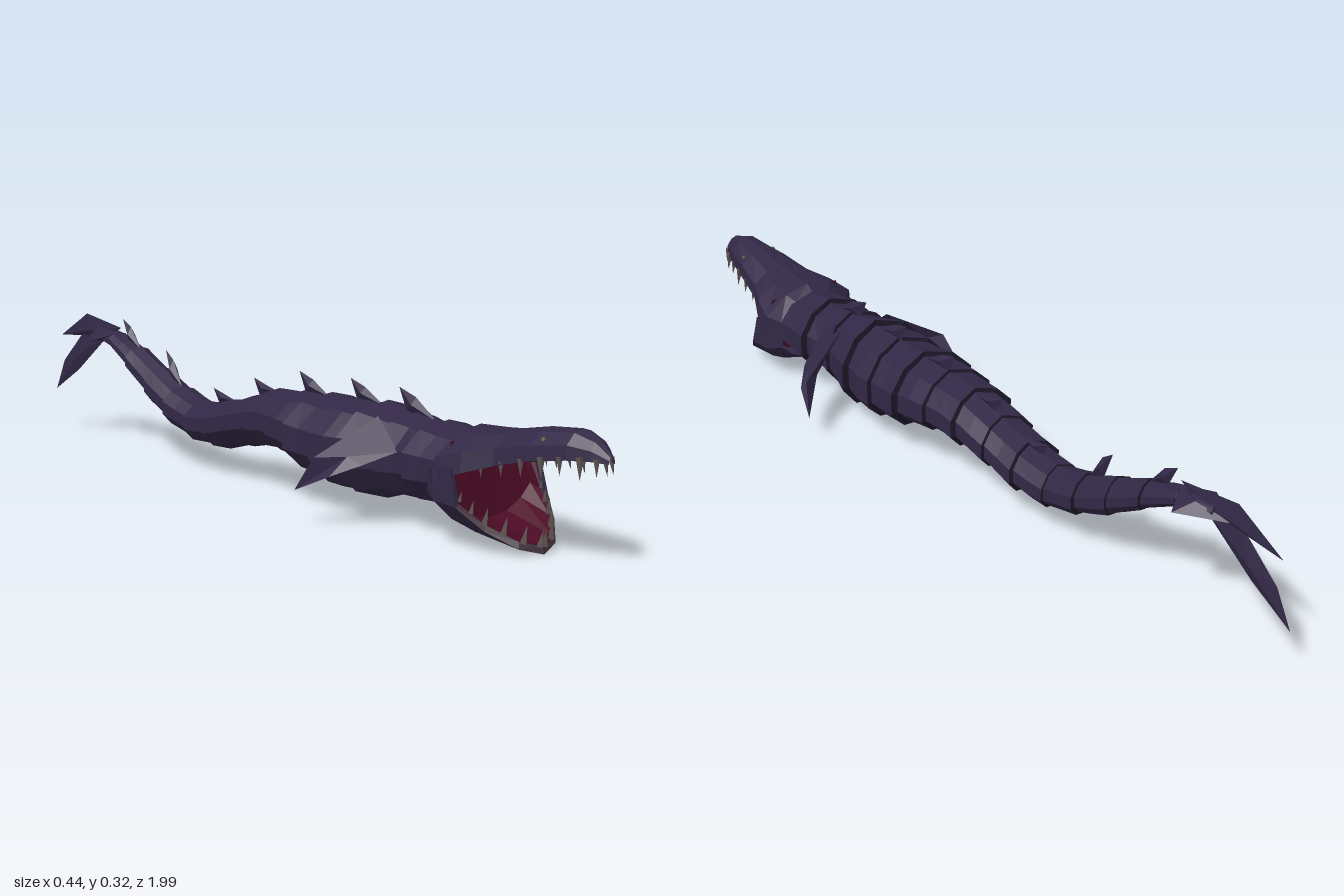
import * as THREE from 'three';

const mat = (name, color) => {
  const m = new THREE.MeshStandardMaterial({ color, side: THREE.DoubleSide, flatShading: true });
  m.name = name;
  return m;
};
const lerp = THREE.MathUtils.lerp;

// Flat-faced mesh from a list of [x, y, z] triangle corners
function facets(name, corners, material) {
  const g = new THREE.BufferGeometry();
  g.setAttribute('position', new THREE.Float32BufferAttribute(corners.flat(), 3));
  g.computeVertexNormals();
  const mesh = new THREE.Mesh(g, material);
  mesh.name = name;
  return mesh;
}

// Skin stretched over rows of points
function loft(name, rows, material, closed = false) {
  const tri = [];
  for (let r = 0; r < rows.length - 1; r++) {
    const a = rows[r], b = rows[r + 1], n = a.length;
    for (let i = 0; i < (closed ? n : n - 1); i++) {
      const j = (i + 1) % n;
      tri.push(a[i], b[i], b[j], a[i], b[j], a[j]);
    }
  }
  return facets(name, tri, material);
}

// Thin blade: outline joined to two raised centre points
function blade(name, outline, offset, material) {
  const c = [0, 1, 2].map(k => outline.reduce((s, p) => s + p[k], 0) / outline.length);
  const tri = [];
  for (const s of [1, -1]) {
    const top = c.map((v, k) => v + s * offset[k]);
    outline.forEach((p, i) => {
      const q = outline[(i + 1) % outline.length];
      tri.push(...(s > 0 ? [top, p, q] : [top, q, p]));
    });
  }
  return facets(name, tri, material);
}

// Body profile: z, top, bottom, half width
const PROFILE = [
  [0.64, 0.222, 0.065, 0.098], [0.55, 0.222, 0.066, 0.094], [0.5, 0.225, 0.065, 0.082], [0.4, 0.236, 0.054, 0.1],
  [0.3, 0.238, 0.044, 0.112], [0.2, 0.232, 0.064, 0.106], [0.1, 0.232, 0.094, 0.096],
  [0, 0.226, 0.102, 0.078], [-0.1, 0.2, 0.087, 0.07], [-0.2, 0.173, 0.068, 0.064],
  [-0.3, 0.158, 0.064, 0.055], [-0.4, 0.18, 0.094, 0.049], [-0.5, 0.222, 0.137, 0.043],
  [-0.6, 0.262, 0.202, 0.035], [-0.7, 0.292, 0.256, 0.026], [-0.8, 0.29, 0.262, 0.012],
];
function profileAt(z) {
  let i = 0;
  while (i < PROFILE.length - 2 && z < PROFILE[i + 1][0]) i++;
  const a = PROFILE[i], b = PROFILE[i + 1], t = (a[0] - z) / (a[0] - b[0]);
  return a.map((v, k) => lerp(v, b[k], t));
}
function bodyRing(z, scale) {
  const [, top, bottom, hw] = profileAt(z);
  return Array.from({ length: 10 }, (_, k) => {
    const a = k * Math.PI / 5, s = Math.sin(a);
    return [hw * scale * s / 0.951, (top + bottom) / 2 + (top - bottom) / 2 * scale * Math.cos(a),
      z - 0.03 * Math.abs(s) * hw / 0.1];
  });
}

export function createModel() {
  const model = new THREE.Group();
  model.name = 'seaSerpent';
  const skin = mat('dark purple skin', 0x322846);
  const dark = mat('near black plate edges', 0x1c1727);
  const red = mat('mouth red', 0x4c0a25);
  const gum = mat('brown gums', 0x40303a);
  const bone = mat('grey teeth', 0x5c534f);
  const gold = mat('dull gold eyes', 0x5f5034);

  // Overlapping body plates, each flaring towards its rear edge
  const count = 15, step = 1.42 / count;
  for (let i = 0; i < count; i++) {
    const z = 0.64 - i * step, flare = i % 2 ? 1.06 : 1.12;
    const rear = bodyRing(z - step, flare);
    const plate = new THREE.Group();
    plate.name = 'bodyPlate' + (i + 1);
    plate.add(loft('plate', [bodyRing(z + 0.01, 0.95), bodyRing(z - step * 0.5, 1.02), rear], skin, true));
    plate.add(loft('plateRim', [rear, bodyRing(z - step - 0.002, 0.93)], dark, true));
    model.add(plate);
  }

  // Swept spines along the back: tip z, tip y, length
  for (const [z, y, l] of [[0.39, 0.28, 0.12], [0.23, 0.28, 0.11], [0.05, 0.275, 0.11], [-0.12, 0.24, 0.1],
    [-0.28, 0.197, 0.1], [-0.48, 0.266, 0.07], [-0.67, 0.323, 0.08]]) {
    const base = d => profileAt(z + d)[1] - 0.004;
    model.add(blade('backSpine', [
      [0, base(l), z + l], [0, lerp(base(l * 0.45), y, 0.7), z + l * 0.45],
      [0, y, z], [0, base(0.025), z + 0.025],
    ], [0.011, 0, 0], skin));
  }

  // Upper jaw: z, top, lip, half width
  const jaw = [
    [0.995, 0.222, 0.207, 0.008], [0.965, 0.25, 0.21, 0.027], [0.92, 0.265, 0.208, 0.045],
    [0.84, 0.258, 0.197, 0.064], [0.76, 0.243, 0.177, 0.08], [0.7, 0.238, 0.157, 0.11],
    [0.64, 0.236, 0.13, 0.127], [0.62, 0.222, 0.11, 0.098],
  ];
  const head = new THREE.Group();
  head.name = 'head';
  model.add(head);
  head.add(loft('upperJaw', jaw.map(([z, top, lip, hw]) => {
    const h = top - lip, side = [[1, 0], [0.96, 0.5], [0.5, 0.88]];
    return [...side.map(([x, y]) => [-hw * x, lip + h * y, z]), [0, top, z],
      ...side.reverse().map(([x, y]) => [hw * x, lip + h * y, z])];
  }), skin));
  const roof = (x, y) => jaw.slice(0, 7).map(([z, top, lip, hw]) => [hw * x, lip + (top - lip) * y, z]);
  const across = lines => lines[0].map((_, i) => lines.map(l => l[i]));
  const palate = across([roof(-0.88, 0.06), roof(-0.5, 0.6), roof(0.5, 0.6), roof(0.88, 0.06)]);
  head.add(loft('frontPalate', palate.slice(0, 5), gum));
  head.add(loft('rearPalate', palate.slice(4), red));
  for (const s of [1, -1]) head.add(loft('upperGum', across([roof(s, 0), roof(s * 0.88, 0.06)]), gum));

  // Lower jaw: rim curve from the chin to the mouth corner, mirrored
  const half = [[0, 0.004, 0.825], [0.05, 0.017, 0.805], [0.095, 0.05, 0.755], [0.125, 0.092, 0.705], [0.122, 0.165, 0.685]];
  const rim = [...half.slice(1).reverse().map(([x, y, z]) => [-x, y, z]), ...half];
  const inner = rim.map(([x, y, z]) => [x * 0.89, lerp(y, 0.13, 0.12), z - 0.004]);
  const back = rim.map(([x, y]) => [x * 0.84, lerp(y, 0.13, 0.42), 0.6]);
  const middle = rim.map(([x, y, z]) => [x * 1.01, lerp(y, 0.13, 0.12), lerp(z, 0.6, 0.6)]);
  head.add(loft('lowerJaw', [back, middle, rim], skin));
  head.add(loft('lowerGum', [rim.slice(1, 8), inner.slice(1, 8)], gum));
  for (const i of [0, 7]) head.add(loft('mouthCorner', [rim.slice(i, i + 2), inner.slice(i, i + 2)], skin));
  head.add(loft('throat', [inner,
    inner.map(([x, y]) => [x * 0.94, lerp(y, 0.15, 0.25), 0.675]),
    inner.map(([x]) => [x * 0.85, 0.212, 0.655])], red));

  // Teeth
  const tooth = (name, x, y, z, length, dir) => {
    const m = new THREE.Mesh(new THREE.ConeGeometry(length * 0.19, length, 5), bone);
    m.name = name;
    const d = new THREE.Vector3(...dir).normalize();
    m.quaternion.setFromUnitVectors(new THREE.Vector3(0, 1, 0), d);
    m.position.set(x, y, z).addScaledVector(d, length * 0.42);
    head.add(m);
  };
  const alongJaw = z => {
    const i = jaw.findIndex(r => r[0] <= z), a = jaw[i - 1], b = jaw[i];
    return a.map((v, k) => lerp(v, b[k], (a[0] - z) / (a[0] - b[0])));
  };
  for (const s of [1, -1]) {
    [[0.975, 0.035], [0.945, 0.045], [0.905, 0.036], [0.865, 0.045], [0.82, 0.036], [0.775, 0.03], [0.735, 0.022]].forEach(([z, l]) => {
      const [, , lip, hw] = alongJaw(z);
      tooth('upperTooth', s * hw * 0.94, lip + 0.004, z, l, [s * 0.1, -1, 0.12]);
    });
    [[0.15, 0.036], [0.85, 0.038], [1.5, 0.038], [2.1, 0.035], [2.6, 0.028], [3.1, 0.022]].forEach(([t, l]) => {
      const i = Math.floor(t), p = half[i].map((v, k) => lerp(v, half[i + 1][k], t - i));
      tooth('lowerTooth', s * p[0] * 0.88, lerp(p[1], 0.13, 0.13), p[2] - 0.002, l, [-s * 0.12, 1, 0.15]);
    });
  }

  // Eyes, pectoral fins and tail side fins, mirrored
  for (const s of [1, -1]) {
    const eye = new THREE.Mesh(new THREE.SphereGeometry(0.006, 8, 6), gold);
    eye.name = s > 0 ? 'leftEye' : 'rightEye';
    eye.position.set(s * 0.043, 0.238, 0.86);
    head.add(eye);
    model.add(blade(s > 0 ? 'leftFin' : 'rightFin', [
      [0.065, 0.226, 0.4], [0.2, 0.147, 0.355], [0.22, 0.076, 0.318],
      [0.19, 0.112, 0.395], [0.145, 0.138, 0.445], [0.085, 0.165, 0.485],
    ].map(([x, y, z]) => [s * x, y, z]), [s * 0.004, 0.008, 0.01], skin));
    model.add(blade(s > 0 ? 'leftTailFin' : 'rightTailFin', [
      [0, 0.29, -0.68], [s * 0.062, 0.268, -0.72], [0, 0.272, -0.83],
    ], [0, 0.013, 0], skin));
  }

  // Vertical tail flukes
  model.add(blade('upperFluke', [
    [0, 0.3, -0.68], [0, 0.322, -0.84], [0, 0.256, -0.965], [0, 0.265, -0.84], [0, 0.265, -0.74],
  ], [0.009, 0, 0], skin));
  model.add(blade('lowerFluke', [
    [0, 0.275, -0.74], [0, 0.28, -0.85], [0, 0.19, -0.955], [0, 0.11, -0.997], [0, 0.172, -0.885],
  ], [0.009, 0, 0], skin));
  return model;
}
